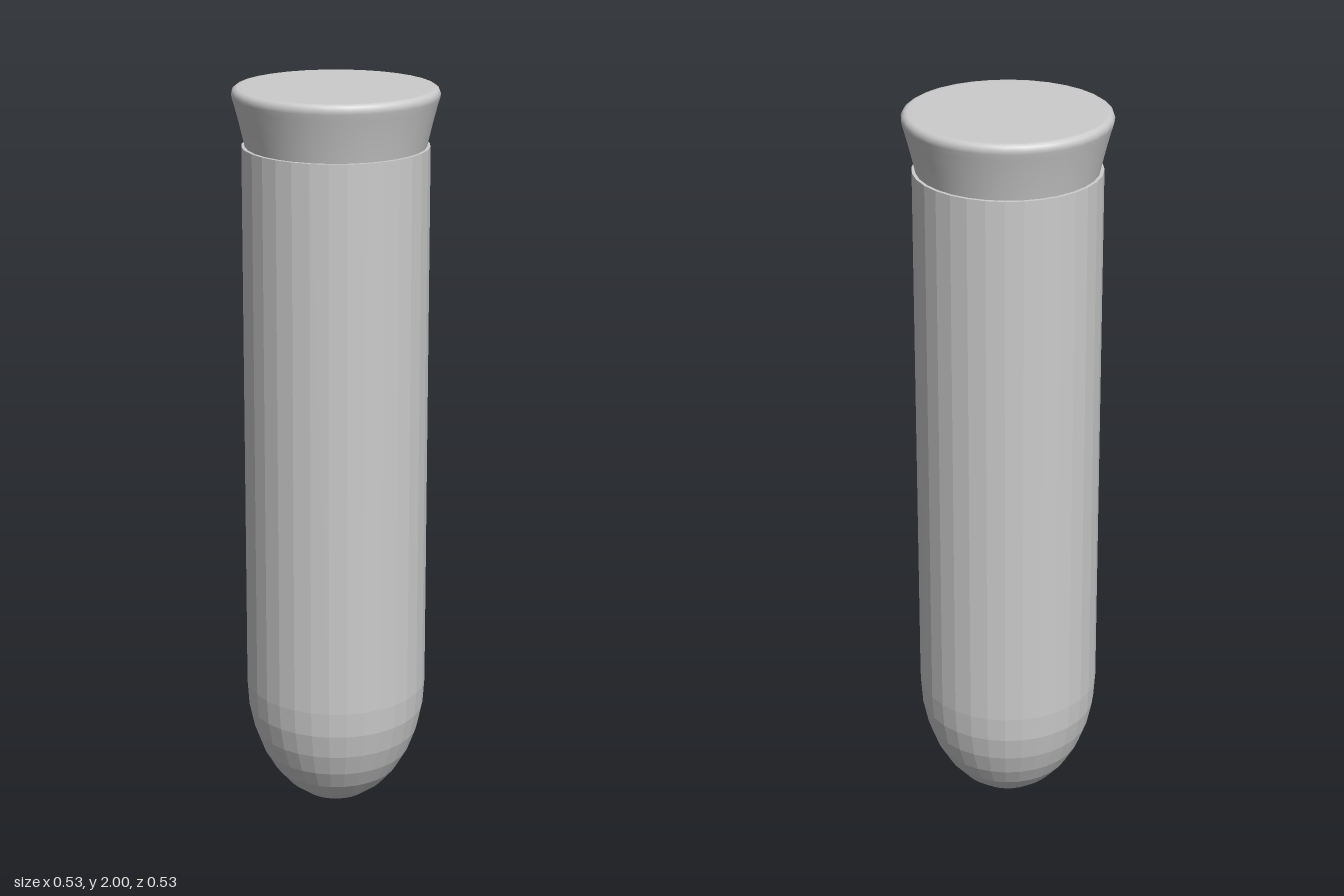
import * as THREE from 'three';

const SIDES = 32;

function lathe(name, points, flatShading) {
  const geometry = new THREE.LatheGeometry(points.map(([r, y]) => new THREE.Vector2(r, y)), SIDES);
  const material = new THREE.MeshStandardMaterial({ color: 0xcccccc, flatShading, side: THREE.DoubleSide });
  const mesh = new THREE.Mesh(geometry, material);
  mesh.name = name;
  return mesh;
}

export function createModel() {
  const group = new THREE.Group();
  group.name = 'stopperedTube';

  // Tube: stretched half-sphere base, near-straight wall, thin rim
  const radius = 0.246, domeHeight = 0.36, rings = 8;
  const wall = [];
  for (let i = 0; i <= rings; i++) {
    const a = (i / rings) * Math.PI / 2;
    wall.push([radius * Math.sin(a), domeHeight * (1 - Math.cos(a))]);
  }
  wall.push([0.242, 1.85], [0.225, 1.85], [0.225, 1.78]);
  group.add(lathe('tube', wall, true));

  // Stopper: flared plug with a softly rounded top edge
  group.add(lathe('stopper', [
    [0, 1.78], [0.219, 1.78], [0.233, 1.85], [0.247, 1.91], [0.26, 1.96],
    [0.265, 1.976], [0.266, 1.985], [0.263, 1.994], [0.256, 1.999],
    [0.25, 2], [0.24, 2], [0, 2],
  ], false));

  return group;
}
